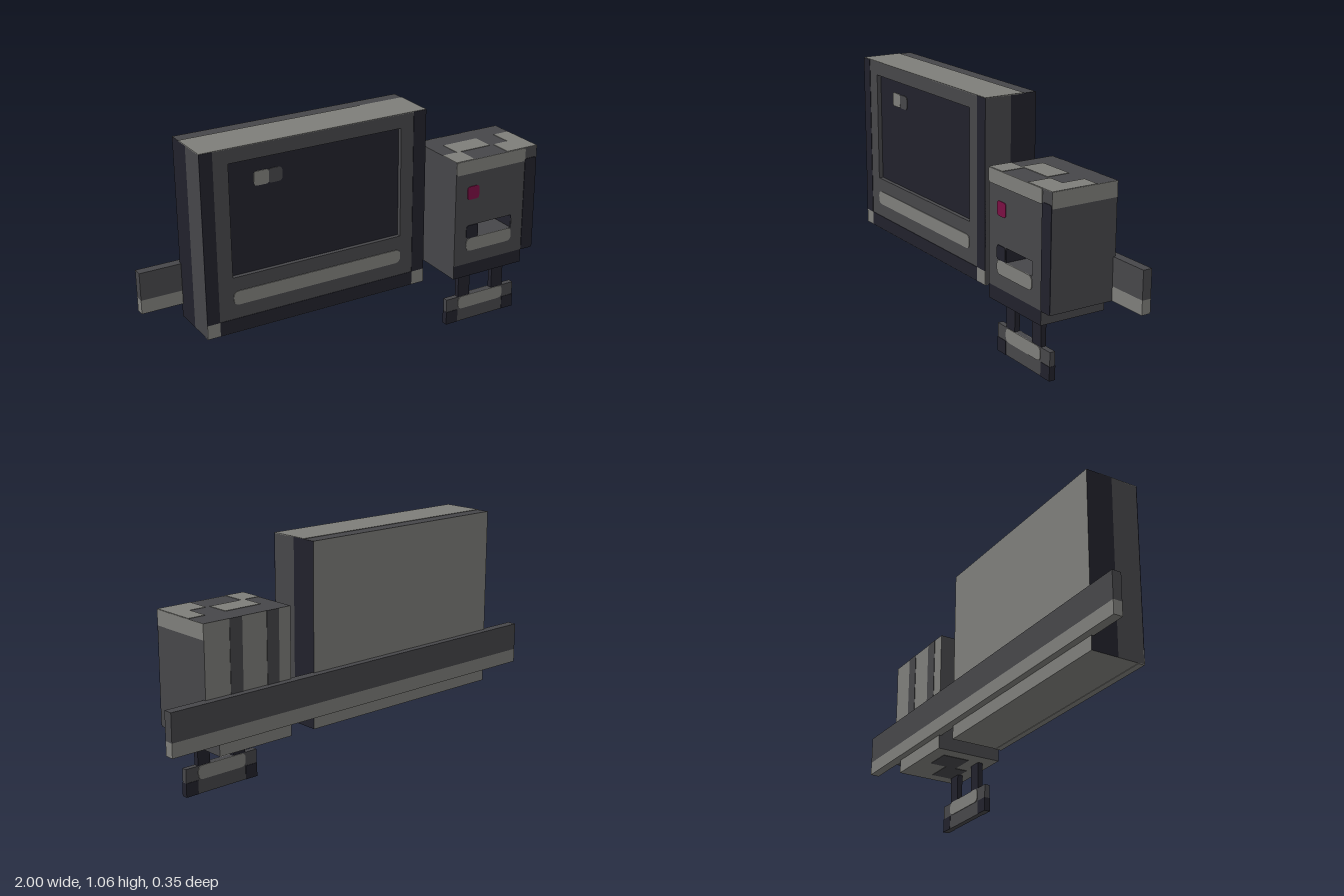
import * as THREE from 'three';

const material = (name, color) => {
  const m = new THREE.MeshStandardMaterial({ color });
  m.name = name;
  return m;
};

export function createModel() {
  const root = new THREE.Group();
  const dark = material('dark metal', 0x21212b);
  const mid = material('grey metal', 0x464649);
  const light = material('light metal', 0x7e7e7a);
  const red = material('crimson light', 0x7a0f43);

  const group = (name) => {
    const g = new THREE.Group();
    g.name = name;
    root.add(g);
    return g;
  };
  const add = (parent, name, geo, mat) => {
    const mesh = new THREE.Mesh(geo, mat);
    mesh.name = name;
    parent.add(mesh);
    return mesh;
  };
  // Box given by its limits; mat may be one material or [+x,-x,+y,-y,+z,-z]
  const box = (parent, name, mat, [x0, x1], [y0, y1], [z0, z1]) => {
    const mesh = add(parent, name, new THREE.BoxGeometry(x1 - x0, y1 - y0, z1 - z0), mat);
    mesh.position.set((x0 + x1) / 2, (y0 + y1) / 2, (z0 + z1) / 2);
    return mesh;
  };
  const outline = (Type, [x0, x1], [y0, y1], r = 0) => {
    const s = new Type();
    s.moveTo(x0 + r, y0).lineTo(x1 - r, y0);
    if (r) s.quadraticCurveTo(x1, y0, x1, y0 + r);
    s.lineTo(x1, y1 - r);
    if (r) s.quadraticCurveTo(x1, y1, x1 - r, y1);
    s.lineTo(x0 + r, y1);
    if (r) s.quadraticCurveTo(x0, y1, x0, y1 - r);
    s.lineTo(x0, y0 + r);
    if (r) s.quadraticCurveTo(x0, y0, x0 + r, y0);
    return s;
  };
  // Thin plate with softened corners, facing front
  const pill = (parent, name, mat, xs, ys, z, r = 0.025) => {
    const geo = new THREE.ExtrudeGeometry(outline(THREE.Shape, xs, ys, r), { depth: 0.004, bevelEnabled: false, curveSegments: 4 });
    geo.translate(0, 0, z - 0.001);
    add(parent, name, geo, mat);
  };
  // Slab with a rectangular opening
  const pierced = (parent, name, mat, xs, ys, [z0, z1], hx, hy) => {
    const shape = outline(THREE.Shape, xs, ys);
    shape.holes.push(outline(THREE.Path, hx, hy));
    const geo = new THREE.ExtrudeGeometry(shape, { depth: z1 - z0, bevelEnabled: false });
    geo.translate(0, 0, z0);
    add(parent, name, geo, mat);
  };
  const T = 0.002;
  const back = -0.141;

  // Mounting rail
  const rail = group('rail');
  box(rail, 'railUpper', mid, [-1, 1], [0.375, 0.5], [-0.172, -0.13]);
  box(rail, 'railLower', light, [-1, 1], [0.3125, 0.375], [-0.172, -0.13]);

  // Display panel
  const panel = group('displayPanel');
  const PX = [-0.8125, 0.25], PY = [0.25, 1.0625], pf = 0.109;
  const screenX = [-0.6875, 0.125], screenY = [0.5, 1];
  box(panel, 'panelRear', [dark, dark, mid, light, light, dark], PX, PY, [back, -0.016])
    .material = [dark, dark, mid, light, dark, light];
  box(panel, 'panelCore', [mid, mid, light, light, dark, dark], PX, PY, [-0.016, 0.089]);
  pierced(panel, 'panelFrame', mid, PX, PY, [0.089, pf], screenX, screenY);
  box(panel, 'panelTop', light, PX, [PY[1] - T, PY[1] + T], [-0.08, pf]);
  box(panel, 'panelUnderside', light, PX, [PY[0] - T, PY[0] + T], [0.08, pf]);
  for (const [x0, x1] of [[-0.8125, -0.755], [0.1875, 0.25]]) {
    box(panel, 'sideTrim', dark, [x0, x1], [0.3125, 1.0625], [pf - T, pf + T]);
    box(panel, 'cornerTrim', light, [x0, x1], [0.25, 0.3125], [pf - T, pf + T]);
  }
  box(panel, 'bottomTrim', dark, [-0.755, 0.1875], [0.25, 0.3125], [pf - T, pf + T]);
  pill(panel, 'panelBar', light, screenX, [0.375, 0.4375], pf);
  pill(panel, 'glintShade', mid, [-0.505, -0.4375], [0.875, 0.9375], 0.089, 0.02);
  pill(panel, 'glint', light, [-0.5675, -0.5], [0.875, 0.9375], 0.0895, 0.012);

  // Dispenser box with card slot
  const unit = group('dispenser');
  const BX = [0.375, 0.8125], BY = [0.3125, 0.8125], bf = 0.172;
  const slotX = [0.5, 0.6875], slotY = [0.4375, 0.5];
  box(unit, 'dispenserRear', [mid, mid, mid, mid, dark, light], BX, BY, [back, 0.047]);
  pierced(unit, 'dispenserFront', mid, BX, BY, [0.047, bf], slotX, slotY);
  for (const x of slotX) box(unit, 'slotWall', dark, [x - T, x + T], slotY, [0.047, bf - T]);
  box(unit, 'dispenserBase', [mid, mid, mid, light, dark, light], [0.375, 0.75], [0.25, 0.3125], [back, bf]);
  box(unit, 'sideBand', light, [BX[1] - T, BX[1] + T], [0.745, BY[1]], [back, bf]);
  pill(unit, 'browBand', light, [0.375, 0.75], [0.75, 0.8125], bf, 0.012);
  pill(unit, 'frontEdge', dark, [0.75, 0.8125], [0.3125, 0.76], bf, 0.012);
  pill(unit, 'indicator', red, [0.4375, 0.5], [0.625, 0.6875], bf, 0.015);
  pill(unit, 'slotMark', dark, [0.4375, 0.5], slotY, bf, 0.012);
  pill(unit, 'slotLip', light, [0.4375, 0.6875], [0.375, 0.4375], bf);

  // Worn patches on the top
  for (const [x0, x1, z0, z1] of [
    [0.45, 0.63, -0.04, 0.065], [0.375, 0.47, 0.065, bf],
    [0.65, 0.8125, 0.065, bf], [0.73, 0.8125, -0.04, 0.065],
  ]) box(unit, 'topPatch', light, [x0, x1], [BY[1] - T, BY[1] + T], [z0, z1]);
  // Stripes on the back
  for (const x of [0.4375, 0.625]) {
    box(unit, 'backStripe', mid, [x, x + 0.0625], [0.3125, 0.8125], [back - T, back + T]);
  }
  // Patches on the underside
  for (const [x0, x1, z0, z1] of [[0.4375, 0.56, -0.08, 0.05], [0.56, 0.69, 0.0, 0.11]]) {
    box(unit, 'undersidePatch', mid, [x0, x1], [0.25 - T, 0.25 + T], [z0, z1]);
  }

  // Hanging tray
  const tray = group('hangingTray');
  const TZ = [0.1, 0.125];
  for (const x of [0.4375, 0.625]) box(tray, 'hanger', dark, [x, x + 0.0625], [0.125, 0.25], TZ);
  box(tray, 'trayPlate', mid, [0.375, 0.75], [0, 0.125], TZ);
  for (const z of [TZ[0] - 0.002, TZ[1]]) pill(tray, 'trayBand', light, [0.4375, 0.6875], [0.0625, 0.125], z);
  for (const [x0, x1] of [[0.375, 0.435], [0.69, 0.75]]) {
    box(tray, 'trayCorner', dark, [x0 - 0.001, x1 + 0.001], [0, 0.0625], [TZ[0] - T, TZ[1] + T]);
  }
  return root;
}
